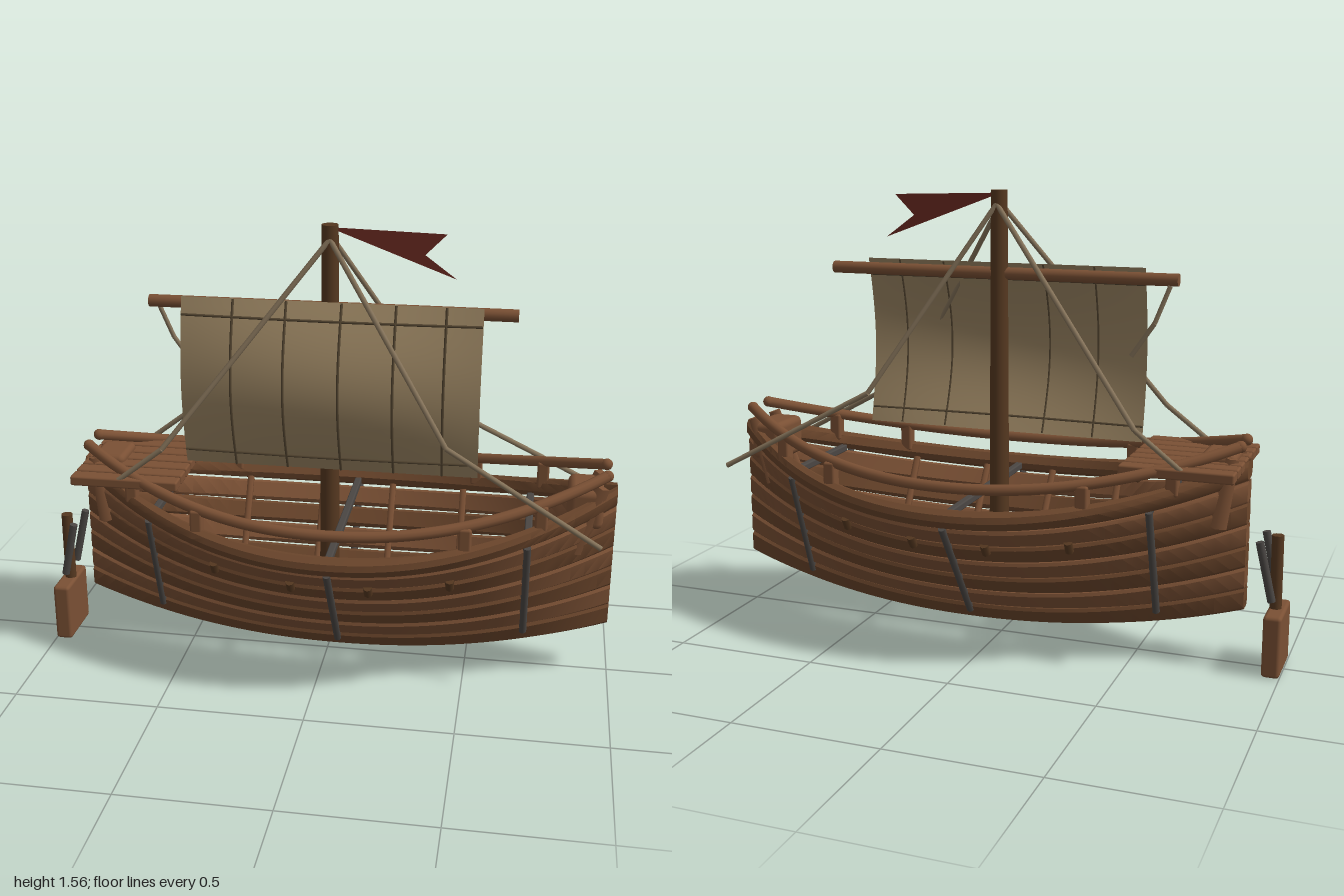
import * as THREE from 'three';
import { toCreasedNormals } from 'three/addons/utils/BufferGeometryUtils.js';
import { RoundedBoxGeometry } from 'three/addons/geometries/RoundedBoxGeometry.js';

const mat = (name, color, side = THREE.FrontSide) => {
  const m = new THREE.MeshStandardMaterial({ color, side });
  m.name = name;
  return m;
};
const V = (x, y, z) => new THREE.Vector3(x, y, z);

// Hull rule: strake k (0 at the keel, 6 at the gunwale) at lengthwise position t in -1..1
const CX = 0.062, HALF = 0.926;
const toT = (x) => (x - CX) / HALF;
function hull(t, k) {
  const f = Math.pow(Math.abs(t), 2.1);
  const dz = 0.045 * (1 - f), dy = 0.066 + 0.007 * f, l = Math.hypot(dz, dy);
  return {
    x: CX + HALF * t,
    y: 0.125 + 0.066 * k + f * (0.11 + 0.007 * k),
    z: (0.115 + 0.045 * k) * (1 - f) + 0.015,
    uz: dz / l, uy: dy / l,
  };
}
function hullPoint(x, k, side, off = 0) {
  const h = hull(toT(x), k);
  return V(x, h.y - h.uz * off, side * (h.z + h.uy * off));
}

// Closed solid through a list of equal rings, wound outward
function loft(rings) {
  const n = rings[0].length, pos = [], idx = [];
  rings.forEach((r) => r.forEach((p) => pos.push(p.x, p.y, p.z)));
  for (let i = 0; i < rings.length - 1; i++) {
    for (let j = 0; j < n; j++) {
      const a = i * n + j, b = i * n + (j + 1) % n;
      idx.push(a, b, a + n, b, b + n, a + n);
    }
  }
  const last = (rings.length - 1) * n;
  for (let j = 1; j < n - 1; j++) idx.push(0, j + 1, j, last, last + j, last + j + 1);
  let vol = 0;
  const at = (i) => V(pos[3 * i], pos[3 * i + 1], pos[3 * i + 2]);
  for (let i = 0; i < idx.length; i += 3) vol += at(idx[i]).dot(at(idx[i + 1]).cross(at(idx[i + 2])));
  if (vol < 0) idx.reverse();
  const g = new THREE.BufferGeometry();
  g.setAttribute('position', new THREE.Float32BufferAttribute(pos, 3));
  g.setIndex(idx);
  return toCreasedNormals(g, 0.7);
}

// One plank following the hull with a bevelled section
function strake(k, side, hw, ht) {
  const rings = [], c = Math.min(hw, ht) * 0.55;
  const sec = [[hw, ht - c], [hw - c, ht], [c - hw, ht], [-hw, ht - c], [-hw, c - ht], [c - hw, -ht], [hw - c, -ht], [hw, c - ht]];
  for (let i = 0; i <= 40; i++) {
    const h = hull(-1 + i / 20, k);
    rings.push(sec.map(([a, b]) => V(h.x, h.y + a * h.uy - b * h.uz, side * (h.z + a * h.uz + b * h.uy))));
  }
  return loft(rings);
}

export function createModel() {
  const wood = mat('wood', 0x7a5034), plankWood = mat('plank wood', 0x6a452b), darkWood = mat('dark wood', 0x553820);
  const iron = mat('iron', 0x4a4643), cloth = mat('sail cloth', 0x9a8462, THREE.DoubleSide);
  const seamMat = mat('seam', 0x51432f), rope = mat('rope', 0x85735a), red = mat('red cloth', 0x6b2a22, THREE.DoubleSide);

  const root = new THREE.Group();
  const add = (name, geo, m, x = 0, y = 0, z = 0) => {
    const o = new THREE.Mesh(geo, m);
    o.name = name;
    o.position.set(x, y, z);
    root.add(o);
    return o;
  };
  const box = (name, m, x, y, z, w, h, d) => add(name, new RoundedBoxGeometry(w, h, d, 2, Math.min(w, h, d) * 0.2), m, x, y, z);
  const rod = (name, m, a, b, r, r2 = r, seg = 12) => {
    const d = b.clone().sub(a);
    const o = add(name, new THREE.CylinderGeometry(r2, r, d.length(), seg), m);
    o.position.copy(a).addScaledVector(d, 0.5);
    o.quaternion.setFromUnitVectors(V(0, 1, 0), d.normalize());
    return o;
  };

  // Keel plank, tapering to both ends
  const keel = [];
  for (let i = 0; i <= 30; i++) {
    const t = -1 + i / 15, f = Math.pow(Math.abs(t), 2.1), w = 0.055 * (1 - f) + 0.008, y = 0.085 + 0.115 * f;
    keel.push([V(CX + HALF * t, y, -w), V(CX + HALF * t, y, w), V(CX + HALF * t, y + 0.03, w), V(CX + HALF * t, y + 0.03, -w)]);
  }
  add('keel', loft(keel), darkWood);

  const railPoint = (t, side) => {
    const f = Math.pow(Math.abs(t), 2.1);
    return V(0.055 + 0.895 * t, 0.622 + 0.135 * f, side * (0.385 - 0.33 * f));
  };

  for (const s of [1, -1]) {
    // Hull planking and gunwale
    for (let k = 0; k < 6; k++) add('strake', strake(k, s, 0.036, 0.016), k % 2 ? wood : plankWood);
    add('gunwale', strake(6, s, 0.031, 0.028), plankWood);

    // Upper railing and its posts
    const pts = [];
    for (let i = 0; i <= 24; i++) pts.push(railPoint(-1 + i / 12, s));
    add('railing', new THREE.TubeGeometry(new THREE.CatmullRomCurve3(pts), 60, 0.019, 10), wood);
    for (const e of [pts[0], pts[24]]) add('railingEnd', new THREE.SphereGeometry(0.02, 12, 8), wood, e.x, e.y, e.z);
    for (const x of [-0.65, -0.39, 0.5, 0.74]) {
      const top = railPoint((x - 0.055) / 0.895, s), foot = hullPoint(x, 6, s);
      box('railingPost', wood, x, (top.y + foot.y) / 2, (top.z + foot.z) / 2, 0.042, top.y - foot.y, 0.042);
    }

    // Inner ribs and the pegs that fix them
    for (const x of [-0.34, -0.07, 0.19, 0.455]) {
      rod('rib', wood, hullPoint(x, 0, s, -0.022), hullPoint(x, 5.6, s, -0.022), 0.013, 0.013, 6);
      rod('ribPeg', darkWood, hullPoint(x, 4.2, s, 0.016), hullPoint(x, 4.75, s, 0.016), 0.015, 0.015, 8);
    }

    // Iron straps on the outside
    for (const x of [-0.585, 0.06, 0.7]) rod('strap', iron, hullPoint(x, 0.1, s, 0.014), hullPoint(x, 5.6, s, 0.016), 0.013, 0.013, 8);

    // Cheek posts at both ends
    for (const [x, lean] of [[0.885, 0.05], [-0.79, -0.025]])
      rod('cheekPost', wood, V(x - lean / 2, 0.49, s * 0.085), V(x + lean, 0.72, s * 0.07), 0.032, 0.025, 4);

    // Shrouds with a slack lower end
    const shroud = [
      [V(0.01, 1.51, s * 0.02), V(-0.53, 0.82, s * 0.215), V(-0.7, 0.69, s * 0.22)],
      [V(0.01, 1.51, s * 0.02), V(0.42, 0.87, s * 0.185), V(0.935, 0.59, s * 0.27)],
    ];
    for (const [a, b, c] of shroud) {
      rod('shroud', rope, a, b, 0.009, 0.009, 8);
      rod('shroudEnd', rope, b, c, 0.009, 0.009, 8);
    }

    // Rudder fittings
    rod('rudderIron', iron, V(-0.96, 0.25, s * 0.06), V(-0.915, 0.45, s * 0.065), 0.014, 0.014, 8);
  }

  // End blocks and cross beams
  box('bowBlock', wood, 0.885, 0.64, 0, 0.12, 0.14, 0.18);
  box('sternBlock', wood, -0.77, 0.68, 0, 0.12, 0.1, 0.16);
  for (const [x, y, w] of [[0.06, 0.52, 0.7], [0.7, 0.575, 0.35], [-0.585, 0.56, 0.42]]) box('crossBeam', iron, x, y, 0, 0.025, 0.025, w);

  // Stern platform
  for (let i = -3; i <= 3; i++) box('platformPlank', wood, -0.667, 0.69, i * 0.067, 0.375, 0.034, 0.057);
  box('platformBearer', darkWood, -0.53, 0.665, 0, 0.04, 0.025, 0.44);

  // Rudder
  box('rudderBlade', wood, -0.97, 0.105, 0, 0.06, 0.21, 0.2);
  rod('rudderStock', darkWood, V(-0.965, 0.2, 0), V(-0.963, 0.46, 0), 0.02);

  // Mast and yard
  rod('mast', darkWood, V(0.008, 0.1, 0), V(0.008, 1.555, 0), 0.036, 0.028, 20);
  rod('yard', wood, V(-0.61, 1.277, 0.004), V(0.63, 1.277, 0.004), 0.021, 0.021, 14);

  // Sail, bellied forward, with seams
  const sailAt = (x, y, off = 0) => {
    const u = (x + 0.487) / 1.007, v = (y - 0.72) / 0.588;
    const z = 0.05 + 0.09 * Math.sin(Math.PI * v) * (0.5 + 0.5 * Math.sin(Math.PI * u));
    return V(x, y, z + off);
  };
  const sail = new THREE.PlaneGeometry(1.007, 0.588, 28, 20).translate(0.0165, 1.014, 0);
  const p = sail.attributes.position;
  for (let i = 0; i < p.count; i++) p.setZ(i, sailAt(p.getX(i), p.getY(i)).z);
  sail.computeVertexNormals();
  add('sail', sail, cloth);
  const seam = (ptAt) => {
    const pts = [];
    for (let i = 0; i <= 12; i++) pts.push(ptAt(i / 12));
    add('sailSeam', new THREE.TubeGeometry(new THREE.CatmullRomCurve3(pts), 24, 0.0045, 6), seamMat);
  };
  for (const x of [-0.31, -0.13, 0.055, 0.235, 0.4]) seam((v) => sailAt(x, 0.722 + 0.584 * v, 0.002));
  for (const y of [0.77, 1.25]) seam((u) => sailAt(-0.485 + 1.003 * u, y, 0.002));

  // Loose line from the yard end
  rod('yardLine', rope, V(-0.59, 1.26, -0.03), V(-0.545, 1.14, -0.045), 0.008, 0.008, 8);
  rod('yardLineEnd', rope, V(-0.545, 1.14, -0.045), V(-0.47, 1.03, -0.05), 0.008, 0.008, 8);

  // Swallow-tailed pennant
  const flag = new THREE.Shape([[0.03, 1.545], [0.39, 1.535], [0.32, 1.465], [0.425, 1.388], [0.03, 1.535]].map(([x, y]) => new THREE.Vector2(x, y)));
  add('pennant', new THREE.ShapeGeometry(flag), red);

  return root;
}
